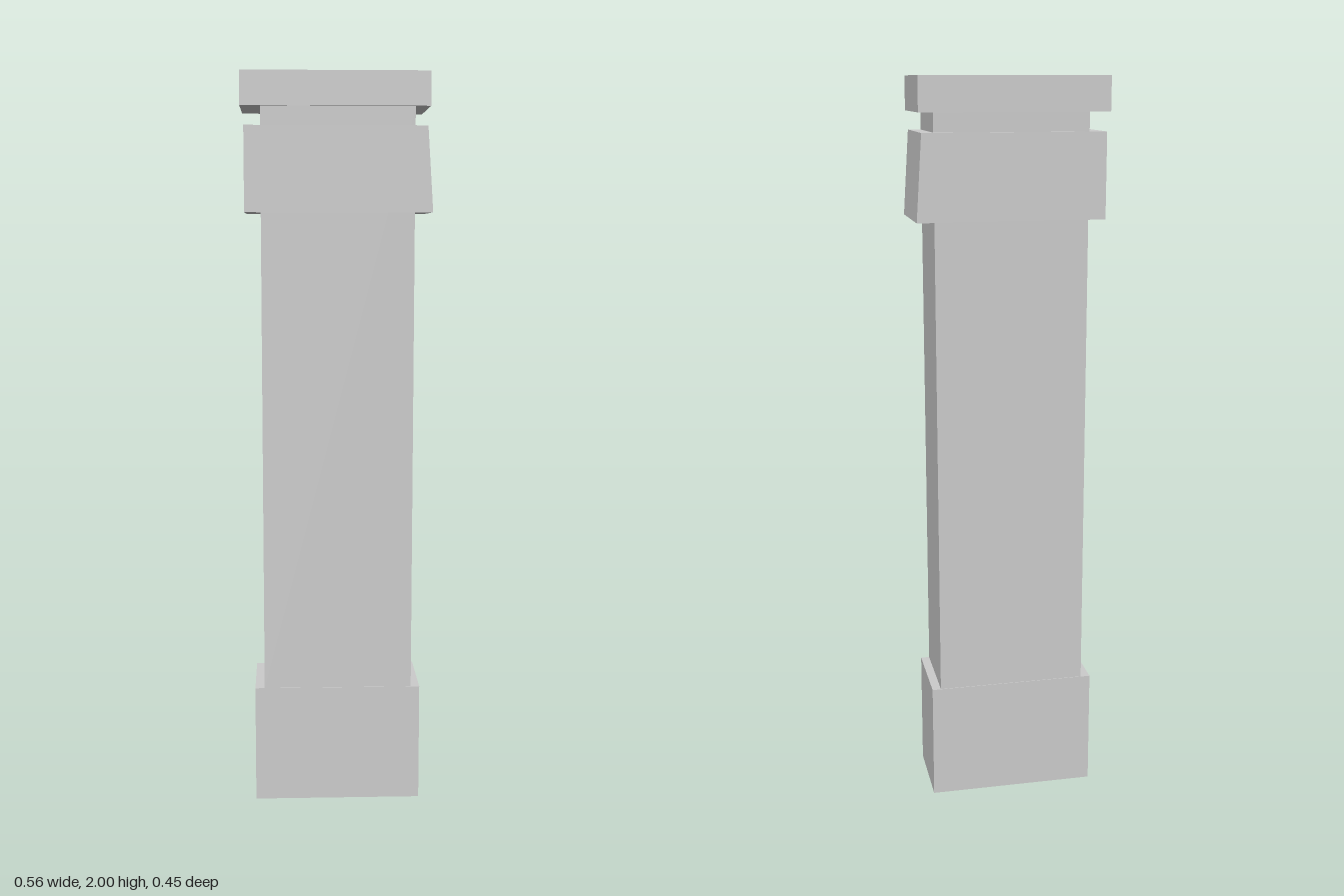
import * as THREE from 'three';

const material = new THREE.MeshStandardMaterial({ color: 0xcccccc, flatShading: true });

// Block from y0 to y1, shifted along the pillar's long axis
function block(name, length, width, y0, y1, shift = 0) {
  const geometry = new THREE.BoxGeometry(length, y1 - y0, width);
  geometry.translate(shift, (y0 + y1) / 2, 0);
  const mesh = new THREE.Mesh(geometry, material);
  mesh.name = name;
  return mesh;
}

export function createModel() {
  const pillar = new THREE.Group();
  pillar.name = 'pillar';

  const base = block('base', 0.459, 0.223, 0, 0.325);
  const shaft = block('shaft', 0.409, 0.219, 0.325, 1.91, 0.001);
  const collar = block('collar', 0.5, 0.244, 1.635, 1.86, 0.003);
  const cap = block('cap', 0.502, 0.241, 1.91, 2, -0.006);

  // One end of the collar leans inward towards the top
  const p = collar.geometry.attributes.position;
  for (let i = 0; i < p.count; i++) {
    if (p.getX(i) > 0 && p.getY(i) > 1.75) p.setX(i, p.getX(i) - 0.015);
  }
  collar.geometry.computeVertexNormals();

  pillar.add(base, shaft, collar, cap);
  pillar.rotation.y = THREE.MathUtils.degToRad(27); // pillar stands turned

  const model = new THREE.Group();
  model.name = 'turnedPillar';
  model.add(pillar);
  return model;
}
